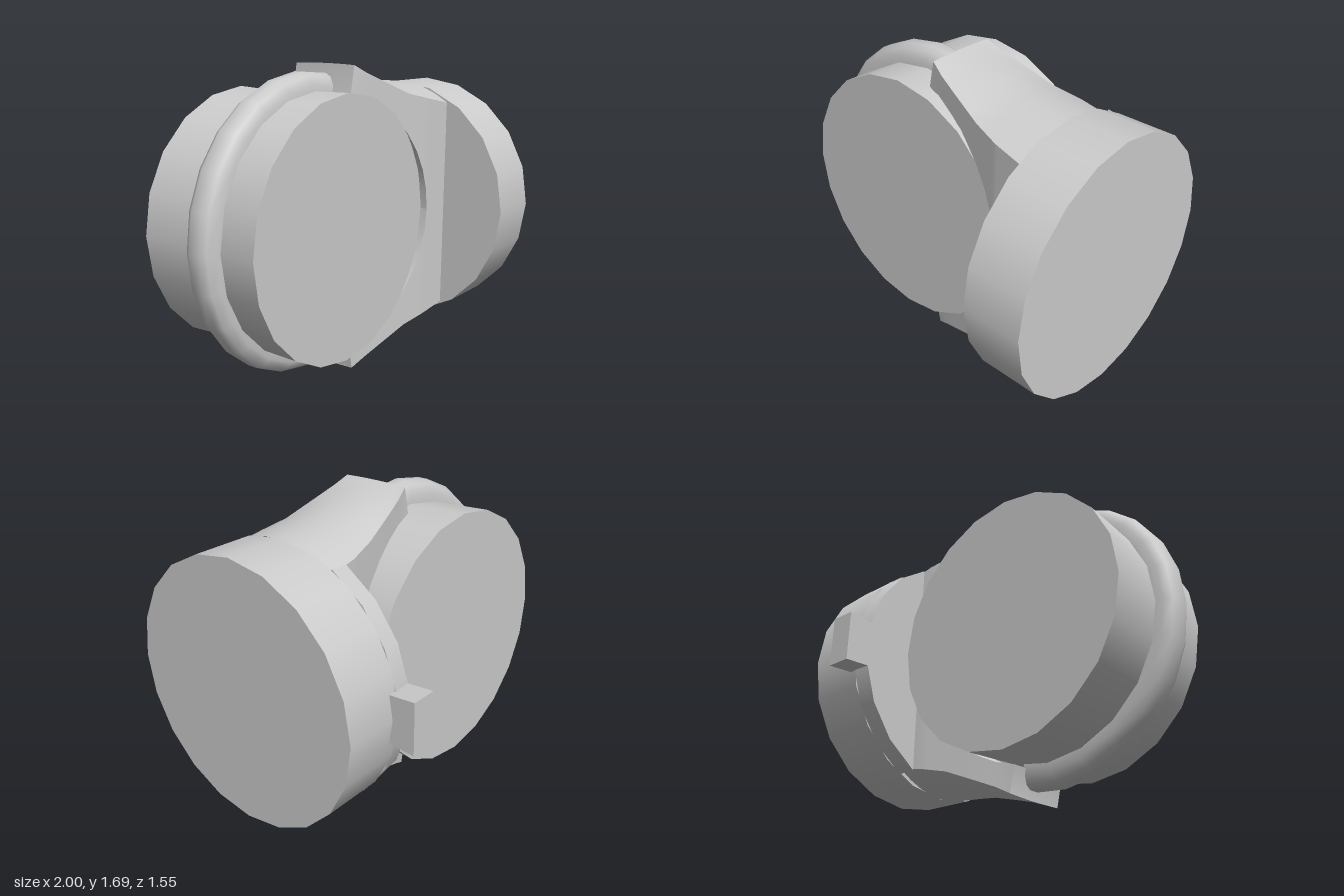
import * as THREE from 'three';
import { toCreasedNormals } from 'three/addons/utils/BufferGeometryUtils.js';

const MID = 0.845; // height of both main axes

// Piecewise-linear lookup in [x, value] pairs
function lerpTable(table, x) {
  for (let i = 1; i < table.length; i++) {
    const [x0, v0] = table[i - 1], [x1, v1] = table[i];
    if (x <= x1) return v0 + (v1 - v0) * (x - x0) / (x1 - x0);
  }
  return table[table.length - 1][1];
}

// One half of the fork: wraps the drum and swells into the round cup
function forkGeometry(sign) {
  const crown = [[-0.05, 0.845], [0.12, 0.8], [0.35, 0.742], [0.5, 0.725], [0.68, 0.71]];
  const back = [[-0.05, -0.14], [0.17, -0.19], [0.52, -0.26], [0.68, -0.26]];
  const front = [[-0.05, 0.25], [0.2, 0.31], [0.5, 0.38], [0.68, 0.4]];
  const drop = [[-0.05, 0.005], [0.35, 0.07], [0.68, 0.11]];
  const stations = [-0.05, 0.05, 0.15, 0.25, 0.35, 0.42, 0.47, 0.5, 0.51, 0.68];
  const across = 8, n = across + 3;
  const pos = [], index = [];
  const tri = (a, b, c) => (sign > 0 ? index.push(a, b, c) : index.push(a, c, b));
  stations.forEach((x, i) => {
    const zb = lerpTable(back, x), zf = lerpTable(front, x);
    const inner = Math.sqrt(Math.max(0, 0.5041 - (x + 0.2) ** 2));
    const lean = i === 0 ? 0.02 : 0; // tip face leans over the drum
    for (let j = 0; j <= across; j++) {
      const u = (2 * j) / across - 1;
      const y = lerpTable(crown, x) - lerpTable(drop, x) * u * u;
      pos.push(x + lean, sign * y, zb + (zf - zb) * (j / across));
    }
    pos.push(x - lean / 2, sign * inner, zf, x - lean / 2, sign * inner, zb);
    if (i === 0) return;
    for (let j = 0; j < n; j++) {
      const a = (i - 1) * n + j, b = (i - 1) * n + (j + 1) % n;
      tri(a, b, a + n);
      tri(b, b + n, a + n);
    }
  });
  for (let j = 1; j < n - 1; j++) tri(0, j + 1, j);
  const g = new THREE.BufferGeometry();
  g.setAttribute('position', new THREE.Float32BufferAttribute(pos, 3));
  g.setIndex(index);
  return toCreasedNormals(g, 0.6);
}

export function createModel() {
  const group = new THREE.Group();
  const material = new THREE.MeshStandardMaterial({ color: 0xcccccc });
  const add = (name, geometry, x, y, z, mat = material) => {
    const mesh = new THREE.Mesh(geometry, mat);
    mesh.name = name;
    mesh.position.set(x, y, z);
    group.add(mesh);
    return mesh;
  };

  // Drum facing front and back
  const drum = (front, back, depth) =>
    new THREE.CylinderGeometry(front, back, depth, 20).rotateX(Math.PI / 2);
  add('drumBack', drum(0.69, 0.712, 0.42), -0.2, MID, -0.19);
  add('drumFront', drum(0.714, 0.71, 0.32), -0.2, MID, 0.18);

  // Rounded rim around the outer half of the drum, ending inside the fork tips
  const rim = [[0.68, -0.05], [0.745, -0.05], [0.79, -0.025], [0.81, 0.01],
    [0.81, 0.07], [0.79, 0.105], [0.745, 0.13], [0.68, 0.13]]
    .map(([r, h]) => new THREE.Vector2(r, h));
  const rimGeometry = new THREE.LatheGeometry(rim, 14, Math.PI - 0.21, Math.PI + 0.42)
    .rotateX(Math.PI / 2);
  const thin = new THREE.MeshStandardMaterial({ color: 0xcccccc, side: THREE.DoubleSide });
  add('drumRim', rimGeometry, -0.19, MID, 0, thin);

  // Fork arms above and below
  add('upperFork', forkGeometry(1), 0, MID, 0);
  add('lowerFork', forkGeometry(-1), 0, MID, 0);

  // Round cup on the side, with a deeper shoulder at the back
  add('cup', new THREE.CylinderGeometry(0.71, 0.712, 0.33, 20).rotateZ(-Math.PI / 2),
    0.835, MID, 0.06);
  add('cupShoulder', new THREE.CylinderGeometry(0.712, 0.705, 0.1, 7, 1, false, Math.PI - 1.1, 2.2)
    .rotateZ(-Math.PI / 2), 0.62, MID, 0.06);

  // Small block behind the cup, slightly wider at its outer end
  const block = new THREE.BoxGeometry(0.14, 0.28, 0.2);
  const p = block.attributes.position;
  for (let i = 0; i < p.count; i++) if (p.getZ(i) > 0) p.setY(i, p.getY(i) * 0.9);
  block.computeVertexNormals();
  add('rearBlock', block, 0.64, MID, -0.675);

  return group;
}
